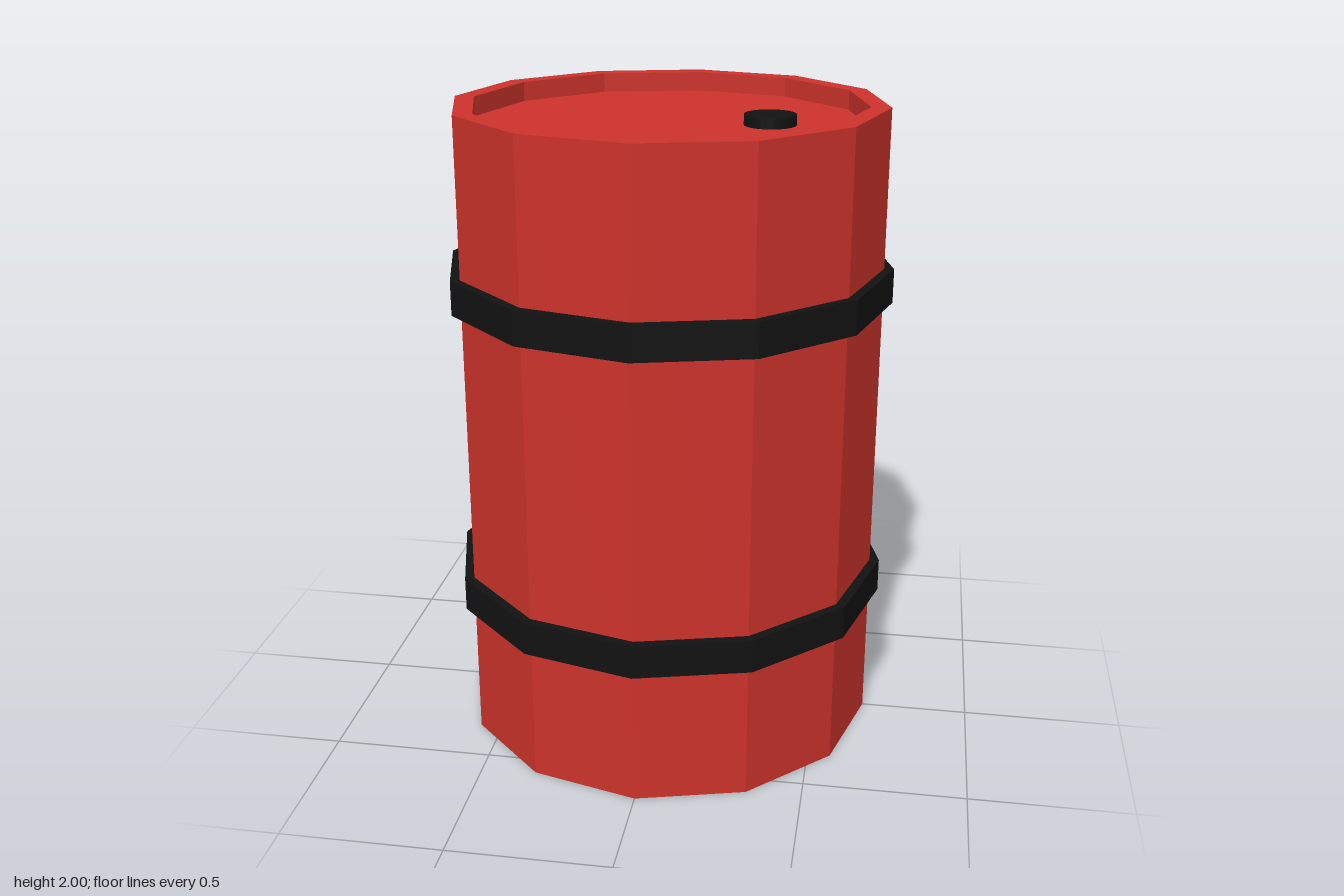
import * as THREE from 'three';

const SIDES = 12;
const red = new THREE.MeshStandardMaterial({ color: 0xcc322b, flatShading: true });
const black = new THREE.MeshStandardMaterial({ color: 0x121212, flatShading: true });

// Revolve an [radius, y] profile, listed from the bottom up the outside
function revolve(name, profile, material) {
  const points = profile.map(([r, y]) => new THREE.Vector2(r, y));
  const mesh = new THREE.Mesh(new THREE.LatheGeometry(points, SIDES), material);
  mesh.name = name;
  return mesh;
}

export function createModel() {
  const barrel = new THREE.Group();
  barrel.name = 'barrel';

  // Body with flat base, raised rim and sunken lid
  const R = 0.66, rim = 0.6, lidY = 1.94;
  barrel.add(revolve('body', [[0, 0], [R, 0], [R, 2], [rim, 2], [rim, lidY], [0, lidY]], red));

  // Two hoops around the body
  const hoopR = 0.69, half = 0.053;
  [['lowerHoop', 0.487], ['upperHoop', 1.462]].forEach(([name, y]) => {
    const hoop = revolve(name, [[R, -half], [hoopR, -half], [hoopR, half], [R, half]], black);
    hoop.position.y = y;
    barrel.add(hoop);
  });

  // Filler cap on the lid
  const capHeight = 0.032;
  const cap = new THREE.Mesh(new THREE.CylinderGeometry(0.079, 0.079, capHeight, 24), black);
  cap.name = 'cap';
  cap.position.set(0.304, lidY + capHeight / 2, 0);
  barrel.add(cap);

  return barrel;
}
